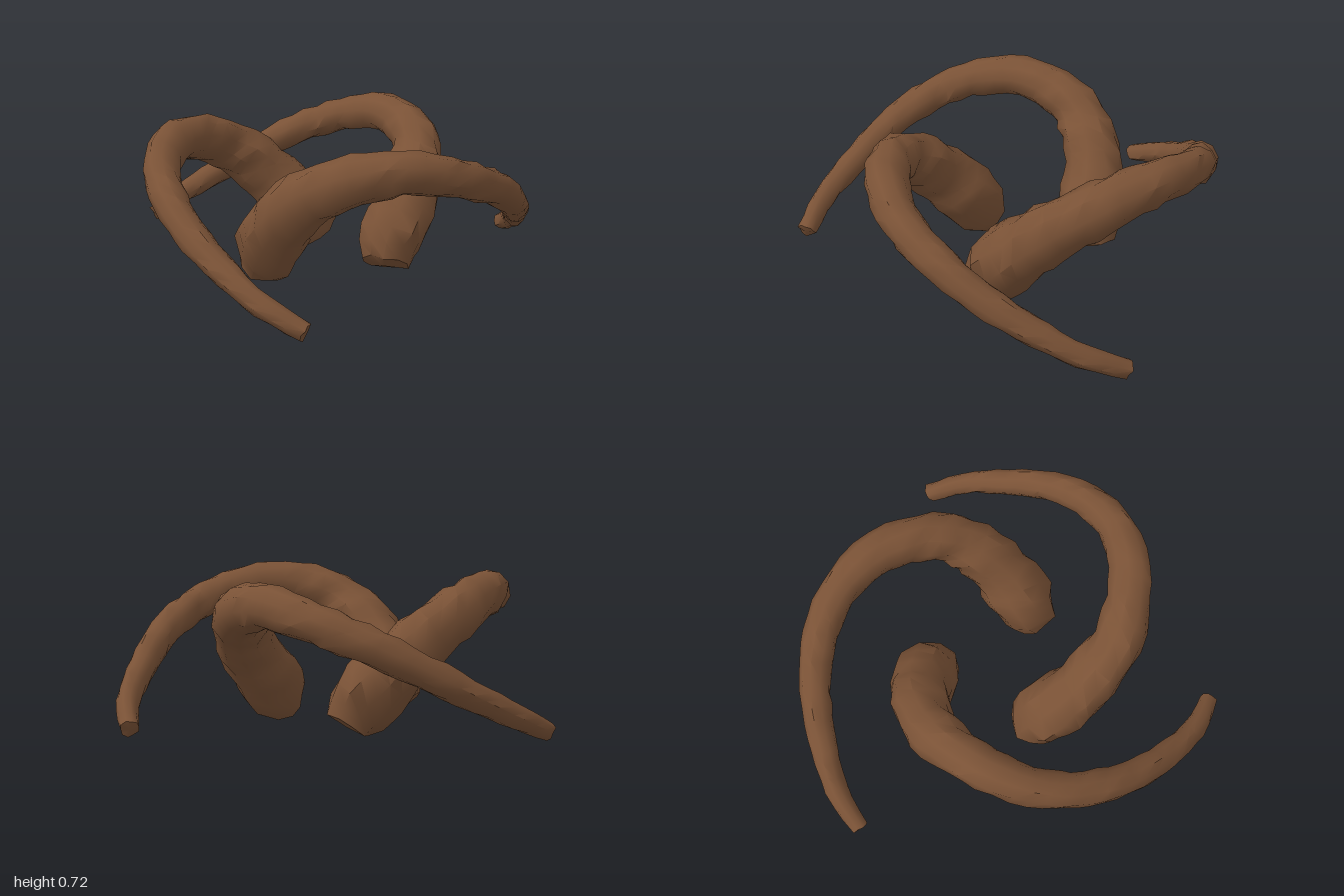
import * as THREE from 'three';
import { toCreasedNormals } from 'three/addons/utils/BufferGeometryUtils.js';

const SIDES = 10, RINGS = 36;

// centre line [x, y, z, radius], from the thick base to the thin tip
const PATH = [
  [0.405, 0.075, -0.09, 0.112], [0.405, 0.155, -0.14, 0.155], [0.425, 0.28, -0.25, 0.150],
  [0.43, 0.405, -0.37, 0.138], [0.395, 0.52, -0.515, 0.124], [0.295, 0.60, -0.65, 0.110],
  [0.135, 0.635, -0.765, 0.098], [-0.02, 0.618, -0.825, 0.090], [-0.2, 0.57, -0.848, 0.084],
  [-0.4, 0.49, -0.805, 0.078], [-0.6, 0.38, -0.70, 0.070], [-0.755, 0.27, -0.565, 0.061],
  [-0.88, 0.18, -0.43, 0.052], [-0.965, 0.09, -0.25, 0.043],
];

function seeded(seed) {
  return () => {
    seed = (seed * 16807) % 2147483647;
    return seed / 2147483647;
  };
}

// tapering, knobbly tube closed at both ends
function rootGeometry() {
  const random = seeded(77);
  const curve = new THREE.CatmullRomCurve3(PATH.map(([x, y, z]) => new THREE.Vector3(x, y, z)));
  const frames = curve.computeFrenetFrames(RINGS, false);
  const positions = [], indices = [];

  for (let j = 0; j <= RINGS; j++) {
    const t = j / RINGS;
    const u = curve.getUtoTmapping(t) * (PATH.length - 1);
    const k = Math.min(Math.floor(u), PATH.length - 2);
    const radius = THREE.MathUtils.lerp(PATH[k][3], PATH[k + 1][3], u - k);
    const centre = curve.getPointAt(t);
    for (let i = 0; i < SIDES; i++) {
      const a = (i / SIDES) * Math.PI * 2;
      const r = radius * (0.93 + random() * 0.18);
      const p = centre.clone()
        .addScaledVector(frames.normals[j], Math.cos(a) * r)
        .addScaledVector(frames.binormals[j], Math.sin(a) * r)
        .addScaledVector(frames.tangents[j], (random() - 0.5) * 0.025);
      positions.push(p.x, Math.max(p.y, 0), p.z);
    }
  }

  // end centres: a blunt bulge at the base, nearly flat at the tip
  const base = curve.getPointAt(0).addScaledVector(frames.tangents[0], -0.015);
  const tip = curve.getPointAt(1).addScaledVector(frames.tangents[RINGS], 0.008);
  const baseIndex = positions.length / 3, last = RINGS * SIDES;
  positions.push(...base.toArray(), ...tip.toArray());

  for (let i = 0; i < SIDES; i++) {
    const n = (i + 1) % SIDES;
    for (let j = 0; j < RINGS; j++) {
      const a = j * SIDES + i, d = j * SIDES + n;
      indices.push(a, d, a + SIDES, d, d + SIDES, a + SIDES);
    }
    indices.push(baseIndex, n, i, baseIndex + 1, last + i, last + n);
  }

  const geometry = new THREE.BufferGeometry();
  geometry.setAttribute('position', new THREE.Float32BufferAttribute(positions, 3));
  geometry.setIndex(indices);
  // put the shared turning axis at the origin
  geometry.translate(-0.07, 0, 0.1);
  return toCreasedNormals(geometry, 0.9);
}

export function createModel() {
  const model = new THREE.Group();
  model.name = 'twistedRoots';
  const bark = new THREE.MeshStandardMaterial({ color: 0x7a5236 });
  bark.name = 'brownBark';
  const geometry = rootGeometry();

  // three equal roots spiralling round one axis
  ['backRoot', 'leftRoot', 'rightRoot'].forEach((name, i) => {
    const root = new THREE.Mesh(geometry, bark);
    root.name = name;
    root.position.set(0.07, 0, -0.1);
    root.rotation.y = (-i * Math.PI * 2) / 3;
    model.add(root);
  });
  return model;
}
